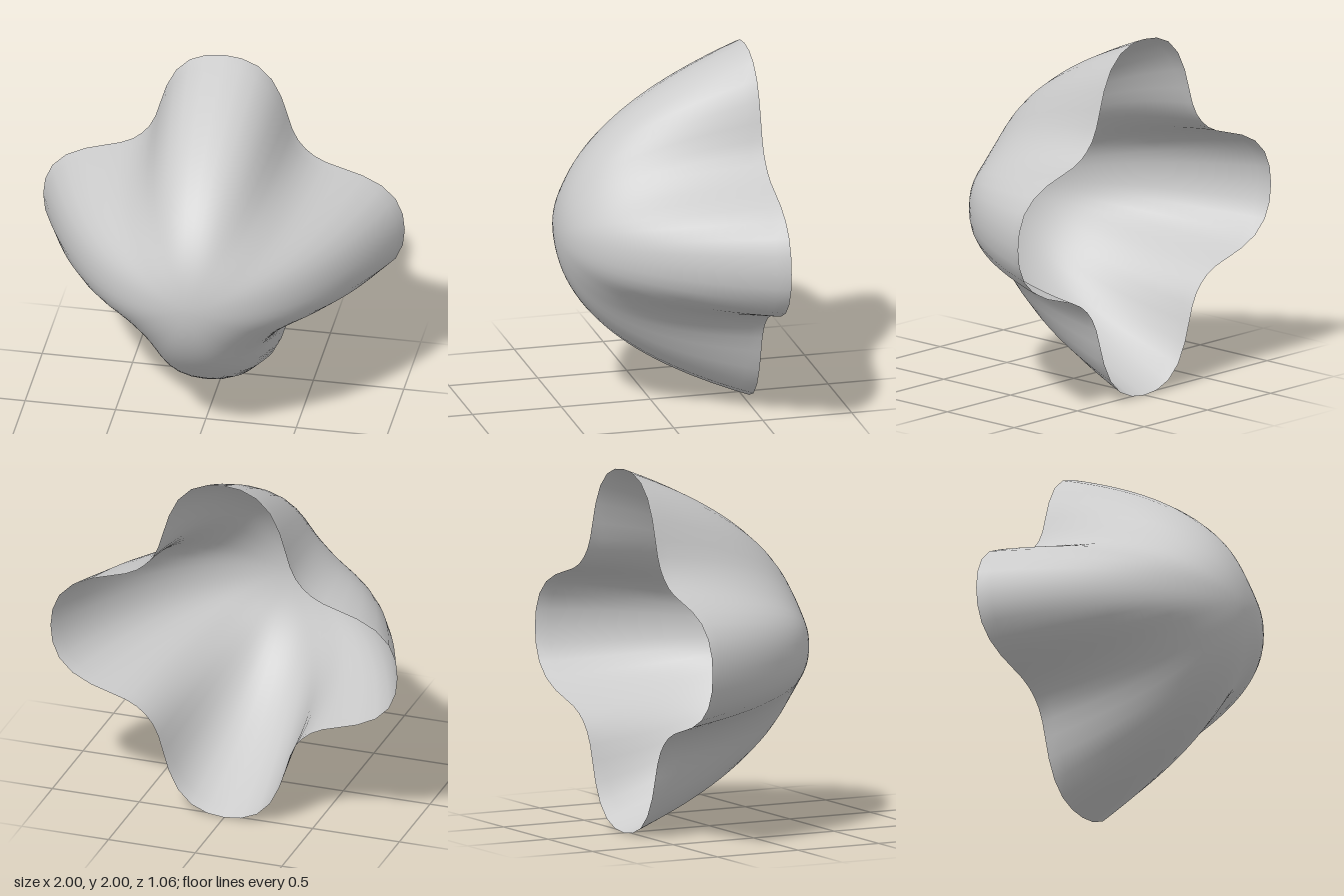
import * as THREE from 'three';
import { mergeVertices } from 'three/addons/utils/BufferGeometryUtils.js';

// Radius along the lobe crests at depth t (0 = nose, 1 = open rim)
const crestRadius = (t) => Math.sqrt((2.12 * t) / (0.814 + Math.sqrt(0.6626 + 1.0431 * t)));

// How far the section is pulled in from the crest, around the four lobes
function valley(angle) {
  const c4 = Math.cos(4 * angle);
  const c12 = Math.cos(12 * angle);
  return 0.18 * (1 - c4) - 0.011 * (c4 - c12) - 0.012 * (1 - c4 * c4);
}

// Open dome: round at the nose, growing into a four-lobed rim at the back
function lobedShellGeometry(rings, segments) {
  const geometry = new THREE.PlaneGeometry(1, 1, rings, segments);
  const pos = geometry.attributes.position;
  for (let i = 0; i < pos.count; i++) {
    const s = pos.getX(i) + 0.5;
    const angle = (pos.getY(i) + 0.5) * Math.PI * 2;
    const t = s * s;
    const r = crestRadius(t) * (1 - s * valley(angle));
    pos.setXYZ(i, r * Math.cos(angle), 1 + r * Math.sin(angle), 0.53 - 1.06 * t);
  }
  // Weld the seam and the nose so the normals are smooth
  geometry.deleteAttribute('normal');
  geometry.deleteAttribute('uv');
  const welded = mergeVertices(geometry, 1e-4);
  welded.computeVertexNormals();
  return welded;
}

export function createModel() {
  const model = new THREE.Group();
  model.name = 'lobedDome';
  const material = new THREE.MeshStandardMaterial({ color: 0xcccccc, side: THREE.DoubleSide });
  const shell = new THREE.Mesh(lobedShellGeometry(28, 64), material);
  shell.name = 'shell';
  model.add(shell);
  return model;
}
